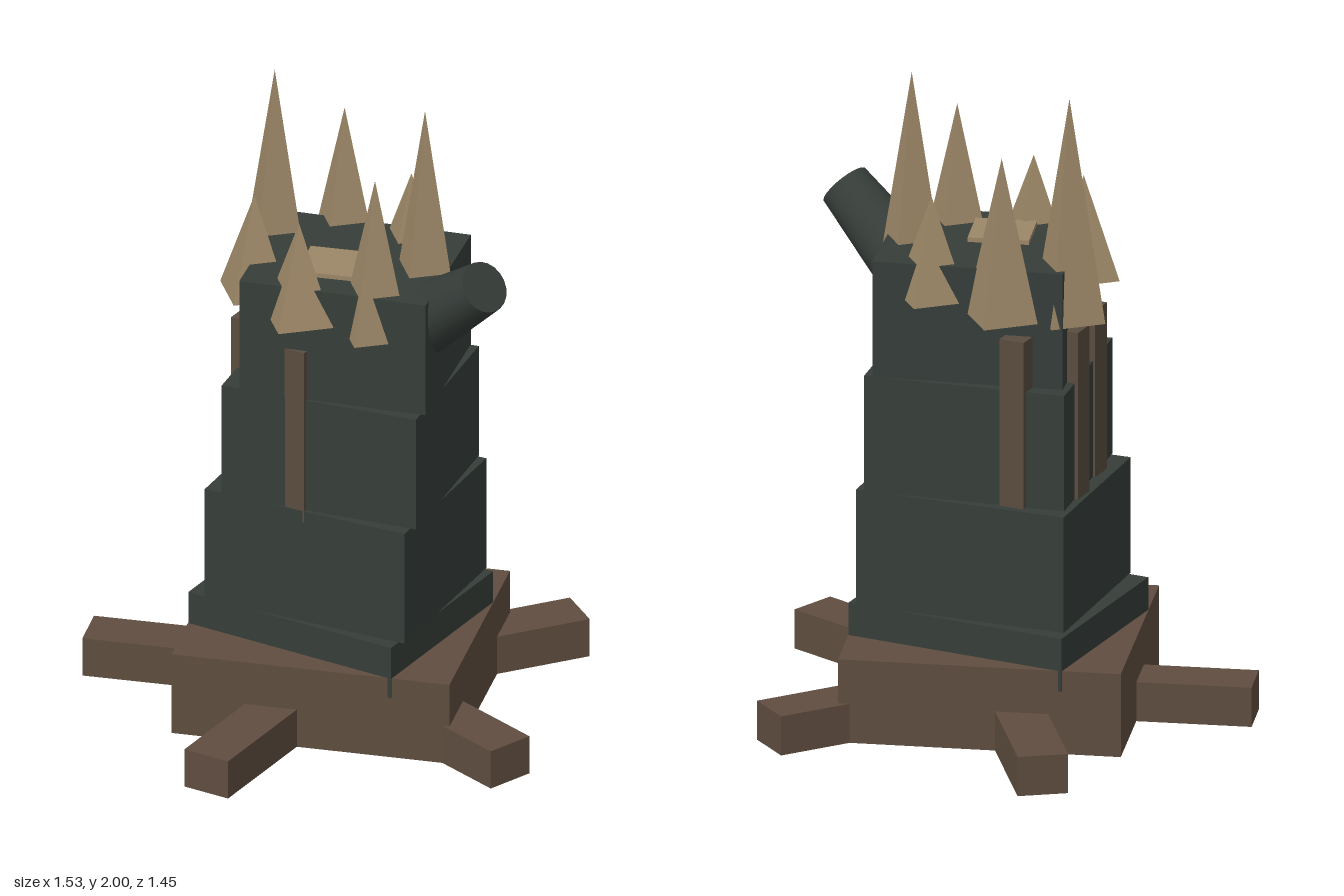
import * as THREE from 'three';

const mat = (color) => new THREE.MeshStandardMaterial({ color, flatShading: true });

export function createModel() {
  const model = new THREE.Group();
  const wood = mat(0x5f4d3f), stone = mat(0x363d39), bone = mat(0x9c8767), slat = mat(0x5a4d40);
  const CZ = -0.057; // z of the tower axis
  const deg = Math.PI / 180;

  function add(name, geometry, material, x, y, z, rotY = 0) {
    const mesh = new THREE.Mesh(geometry, material);
    mesh.name = name;
    mesh.position.set(x, y, z);
    mesh.rotation.y = rotY;
    model.add(mesh);
    return mesh;
  }
  // Box given by its bottom and top heights
  const block = (name, material, w, d, y0, y1, x, z, rotY) =>
    add(name, new THREE.BoxGeometry(w, y1 - y0, d), material, x, (y0 + y1) / 2, z, rotY);

  // Twisted plinth with five radiating feet
  block('plinth', wood, 0.857, 0.77, 0, 0.265, 0, CZ, 17.6 * deg);
  for (let i = 0; i < 5; i++) {
    const a = i * 72 * deg, r = 0.527;
    block('foot', wood, 0.153, 0.5, 0, 0.125, Math.sin(a) * r, CZ + Math.cos(a) * r, a);
  }

  // Four tower storeys, each smaller, shifted and turned by 5 degrees
  for (let i = 0; i < 4; i++) {
    block('storey', stone, 0.71 - 0.043 * i, 0.59 - 0.035 * i,
      Math.max(0.369 * i, 0.2), 0.369 * (i + 1), 0.018 * i, CZ + 0.002 * i, 5 * i * deg);
  }

  // Roof hatch
  block('roofHatch', bone, 0.186, 0.172, 1.44, 1.49, 0.028, 0.026, 18 * deg);

  // Slats showing through the upper walls
  for (const [x, z] of [[0, 0.182], [-0.23, 0.09], [-0.268, -0.105], [-0.16, -0.255]]) {
    block('slat', slat, 0.08, 0.08, 0.7, 1.27, x, z);
  }

  // Crown of seven four-sided spikes in three alternating heights
  for (let i = 0; i < 7; i++) {
    const a = (i / 7) * Math.PI * 2, k = i % 3;
    const bottom = 1.36 - 0.03 * k, height = 0.32 + 0.19 * k;
    add('spike', new THREE.ConeGeometry(0.12, height, 4), bone,
      Math.sin(a) * 0.27, bottom + height / 2, -0.057 + Math.cos(a) * 0.24);
  }

  // Tapered barrel rising out of the right wall
  const dir = new THREE.Vector3(0.777, 0.63, 0.194).normalize();
  const length = 0.45;
  const centre = new THREE.Vector3(0.555, 1.545, 0.028).addScaledVector(dir, -length / 2);
  const barrelMat = stone.clone();
  barrelMat.flatShading = false;
  const barrel = add('barrel', new THREE.CylinderGeometry(0.08, 0.118, length, 20), barrelMat,
    centre.x, centre.y, centre.z);
  barrel.quaternion.setFromUnitVectors(new THREE.Vector3(0, 1, 0), dir);

  return model;
}
